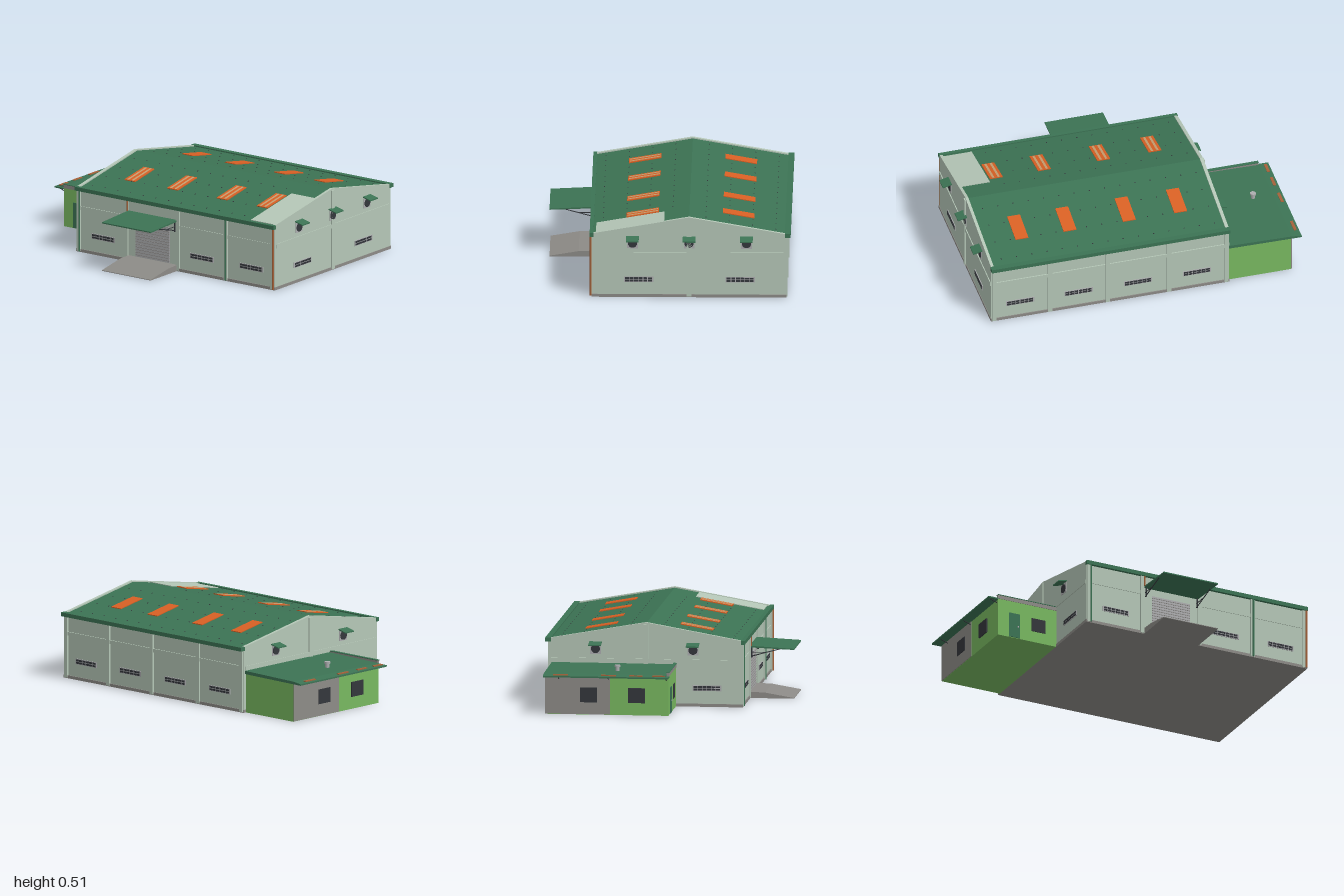
import * as THREE from 'three';

const mat = (name, color, extra = {}) => {
  const m = new THREE.MeshStandardMaterial({ color, ...extra });
  m.name = name;
  return m;
};

export function createModel() {
  const root = new THREE.Group();
  root.name = 'warehouse';
  const M = {
    wall: mat('pale green wall', 0xb5c7b7),
    roof: mat('dark green roof', 0x3c7354),
    lime: mat('bright green wall', 0x78b860),
    grey: mat('concrete grey', 0x8d8b87),
    steel: mat('light grey metal', 0xadaeb0),
    dark: mat('dark glass', 0x34373c),
    orange: mat('orange skylight', 0xd86024),
    tan: mat('tan stripe', 0xc9a071),
    brown: mat('brown pipe', 0xa5623a),
  };

  const add = (name, geo, m, parent = root) => {
    const mesh = new THREE.Mesh(geo, m);
    mesh.name = name;
    parent.add(mesh);
    return mesh;
  };
  // Box given by its limits on each axis
  const box = (name, m, x0, x1, y0, y1, z0, z1, parent = root) =>
    add(name, new THREE.BoxGeometry(x1 - x0, y1 - y0, z1 - z0)
      .translate((x0 + x1) / 2, (y0 + y1) / 2, (z0 + z1) / 2), m, parent);
  // Outline in (z, y) extruded from x0 to x1
  const prism = (name, m, pts, x0, x1, parent = root) => {
    const shape = new THREE.Shape(pts.map(p => new THREE.Vector2(p[0], p[1])));
    const geo = new THREE.ExtrudeGeometry(shape, { depth: x1 - x0, bevelEnabled: false });
    return add(name, geo.rotateY(-Math.PI / 2).translate(x1, 0, 0), m, parent);
  };
  // Round bar between two points
  const bar = (name, m, a, b, r) => {
    const A = new THREE.Vector3(...a), B = new THREE.Vector3(...b);
    const mesh = add(name, new THREE.CylinderGeometry(r, r, A.distanceTo(B), 8), m);
    mesh.position.copy(A).lerp(B, 0.5);
    mesh.quaternion.setFromUnitVectors(new THREE.Vector3(0, 1, 0), B.sub(A).normalize());
  };

  // Main hall: plinth, walls and raised gable ends
  const X0 = -0.53, X1 = 0.93, ZB = -0.70, ZF = 0.46, ZR = -0.12;
  const roofY = z => 0.503 - 0.1776 * Math.abs(z - ZR);
  const gable = (lo, d) => [[ZB, lo], [ZF, lo], [ZF, roofY(ZF) + d], [ZR, roofY(ZR) + d], [ZB, roofY(ZB) + d]];
  box('plinth', M.grey, X0 - 0.015, X1 + 0.013, 0, 0.018, ZB - 0.006, ZF + 0.006);
  prism('hallWalls', M.wall, gable(0.01, -0.02), X0, X1);
  prism('leftGable', M.wall, gable(0.01, 0.003), 0.922, 0.94);
  prism('rightGable', M.wall, gable(0.01, 0.003), -0.542, -0.522);

  // Roof slopes, with plates laid along them
  const slope = (name, m, z0, z1, x0, x1, lo, hi) => prism(name, m, [
    [z0, roofY(z0) + lo], [z1, roofY(z1) + lo], [z1, roofY(z1) + hi], [z0, roofY(z0) + hi]], x0, x1);
  slope('frontRoof', M.roof, ZR, 0.472, -0.522, 0.922, -0.018, -0.004);
  slope('backRoof', M.roof, -0.722, ZR, -0.522, 0.922, -0.018, -0.004);
  slope('paleRoofPanel', M.wall, 0.03, 0.44, 0.745, 0.922, -0.005, 0);
  box('frontGutter', M.roof, -0.545, 0.943, 0.38, 0.404, 0.455, 0.478);
  box('backGutter', M.roof, -0.545, 0.943, 0.38, 0.404, -0.73, -0.695);
  for (const x of [-0.295, 0.025, 0.395, 0.695]) {
    slope('backSkylight', M.orange, -0.51, -0.32, x - 0.04, x + 0.04, -0.005, 0.001);
    slope('frontSkylight', M.orange, 0.065, 0.26, x - 0.04, x + 0.04, -0.005, 0.001);
    for (const s of [-1, 1])
      slope('skylightStripe', M.tan, 0.07, 0.255, x + s * 0.017 - 0.007, x + s * 0.017 + 0.007, 0, 0.002);
  }
  // Roof fasteners
  for (const d of [0.1, 0.24, 0.38, 0.52]) for (const s of [-1, 1]) for (let i = 0; i < 15; i++) {
    const x = -0.47 + i * 0.095, z = ZR + s * d;
    if (s > 0 && x > 0.73) continue;
    slope('roofFastener', M.dark, z - 0.003, z + 0.003, x - 0.003, x + 0.003, -0.005, -0.002);
  }

  // Columns and belts on the long walls
  const columns = [-0.525, -0.167, 0.215, 0.575, 0.922];
  for (const x of columns) {
    box('frontColumn', M.wall, x - 0.013, x + 0.013, 0.005, 0.385, ZF - 0.01, ZF + 0.01);
    box('backColumn', M.wall, x - 0.013, x + 0.013, 0.005, 0.385, ZB - 0.012, ZB + 0.01);
  }
  box('backBelt', M.wall, X0, X1, 0.262, 0.285, ZB - 0.007, ZB);
  box('frontBeltRight', M.wall, X0, -0.16, 0.262, 0.285, ZF, ZF + 0.004);
  box('frontBeltLeft', M.wall, 0.21, X1, 0.262, 0.285, ZF, ZF + 0.004);
  // Belts and pilasters on the gable ends
  for (const [a, b] of [[0.94, 0.945], [-0.547, -0.542]]) {
    box('gableBelt', M.wall, a, b, 0.26, 0.285, -0.693, 0.45);
    box('gablePilaster', M.wall, a - 0.003, b + 0.003, 0.005, 0.495, ZR - 0.014, ZR + 0.014);
  }

  // Louvred vents: grey frame with two rows of dark slots
  const vent = (x, y, z, turn) => {
    const g = new THREE.Group();
    g.name = 'wallVent';
    box('ventFrame', M.steel, -0.088, 0.088, -0.017, 0.017, 0, 0.004, g);
    for (let i = 0; i < 6; i++) for (const s of [-1, 1])
      box('ventSlot', M.dark, -0.082 + i * 0.0275, -0.0585 + i * 0.0275,
        s * 0.0075 - 0.0055, s * 0.0075 + 0.0055, 0.004, 0.006, g);
    g.position.set(x, y, z);
    g.rotation.y = turn;
    root.add(g);
  };
  for (const x of [-0.343, 0.395, 0.765]) vent(x, 0.113, ZF, 0);
  for (const x of [-0.343, 0.025, 0.395, 0.76]) vent(x, 0.113, ZB, Math.PI);
  for (const z of [0.183, -0.428]) vent(0.94, 0.113, z, Math.PI / 2);
  vent(-0.542, 0.113, 0.25, -Math.PI / 2);

  // Extractor fans with sloping hoods
  const fan = (x, z, turn) => {
    const g = new THREE.Group();
    g.name = 'extractorFan';
    box('fanFrame', M.steel, -0.032, 0.032, -0.032, 0.032, 0, 0.004, g);
    add('fanDisc', new THREE.CylinderGeometry(0.027, 0.027, 0.004, 20)
      .rotateX(Math.PI / 2).translate(0, 0, 0.006), M.dark, g);
    prism('fanHood', M.roof, [[0, 0.037], [0.056, 0.023], [0.056, 0.03], [0, 0.044]], -0.038, 0.038, g);
    g.position.set(x, 0.342, z);
    g.rotation.y = turn;
    root.add(g);
  };
  for (const z of [0.22, ZR, -0.465]) fan(0.94, z, Math.PI / 2);
  for (const z of [0.165, -0.425]) fan(-0.542, z, -Math.PI / 2);

  // Roller door with slats
  box('rollerDoor', M.steel, -0.1, 0.155, 0.04, 0.262, ZF, ZF + 0.004);
  for (let i = 0; i < 13; i++)
    box('doorSlat', M.grey, -0.1, 0.155, 0.05 + i * 0.0165, 0.053 + i * 0.0165, ZF + 0.004, ZF + 0.006);

  // Loading ramp
  prism('ramp', M.grey, [[ZF, 0], [0.73, 0], [0.73, 0.004], [0.555, 0.034], [ZF, 0.038]], -0.155, 0.21);

  // Door canopy and its brackets
  prism('canopy', M.roof, [[ZF, 0.307], [0.73, 0.296], [0.73, 0.303], [ZF, 0.317]], -0.155, 0.21);
  for (const x of [-0.145, 0.2]) {
    bar('canopyBrace', M.dark, [x, 0.25, ZF], [x, 0.3, 0.645], 0.003);
    bar('canopyTie', M.dark, [x, 0.277, ZF], [x, 0.277, 0.56], 0.0025);
    bar('canopyPost', M.dark, [x, 0.245, ZF + 0.012], [x, 0.31, ZF + 0.012], 0.004);
  }

  // Downpipes
  bar('cornerDownpipe', M.brown, [0.934, 0.005, 0.472], [0.934, 0.385, 0.472], 0.006);
  bar('shortDownpipe', M.brown, [-0.155, 0.315, 0.472], [-0.155, 0.385, 0.472], 0.005);
  for (const x of [0.578, -0.515]) bar('greenDownpipe', M.roof, [x, 0.005, 0.472], [x, 0.385, 0.472], 0.005);

  // Side annex
  const AX = -0.935, AB = -0.685, AF = 0.062;
  box('annexWalls', M.lime, AX, -0.54, 0, 0.238, AB, AF);
  box('annexGreyWall', M.grey, AX - 0.004, AX, 0.002, 0.237, AB, -0.29);
  box('annexFrontBand', M.grey, AX, -0.54, 0.238, 0.261, AF - 0.012, AF + 0.003);
  box('annexBandCap', M.roof, AX - 0.002, -0.54, 0.261, 0.265, AF - 0.014, AF + 0.006);
  const roofShape = new THREE.Shape([[-1, 0.231], [-0.54, 0.236], [-0.54, 0.256], [-0.94, 0.248], [-1, 0.24]]
    .map(p => new THREE.Vector2(...p)));
  add('annexRoof', new THREE.ExtrudeGeometry(roofShape, { depth: 0.738, bevelEnabled: false })
    .translate(0, 0, -0.69), M.roof);
  box('annexEdgeRoof', M.roof, -1, AX, 0.232, 0.24, 0.04, 0.068);
  for (const [a, b] of [[-0.63, -0.54], [-0.34, -0.25], [-0.17, -0.09], [-0.03, 0.045]])
    box('eaveStrip', M.brown, -0.985, -0.967, 0.24, 0.248, a, b);
  for (const z of [-0.6, -0.3, 0.05]) bar('eaveBrace', M.dark, [AX, 0.215, z], [-0.985, 0.233, z], 0.003);

  // Annex door, windows and roof flue
  box('annexDoor', M.roof, -0.862, -0.79, 0.003, 0.16, AF, AF + 0.005);
  box('doorHandle', M.steel, -0.805, -0.799, 0.07, 0.08, AF + 0.005, AF + 0.009);
  box('annexFrontWindow', M.dark, -0.708, -0.617, 0.07, 0.155, AF, AF + 0.004);
  for (const z of [-0.42, -0.13])
    box('annexSideWindow', M.dark, AX - 0.008, AX, 0.075, 0.165, z - 0.05, z + 0.05);
  bar('flue', M.steel, [-0.815, 0.245, -0.26], [-0.815, 0.275, -0.26], 0.013);
  bar('flueCap', M.steel, [-0.815, 0.275, -0.26], [-0.815, 0.286, -0.26], 0.019);

  return root;
}
